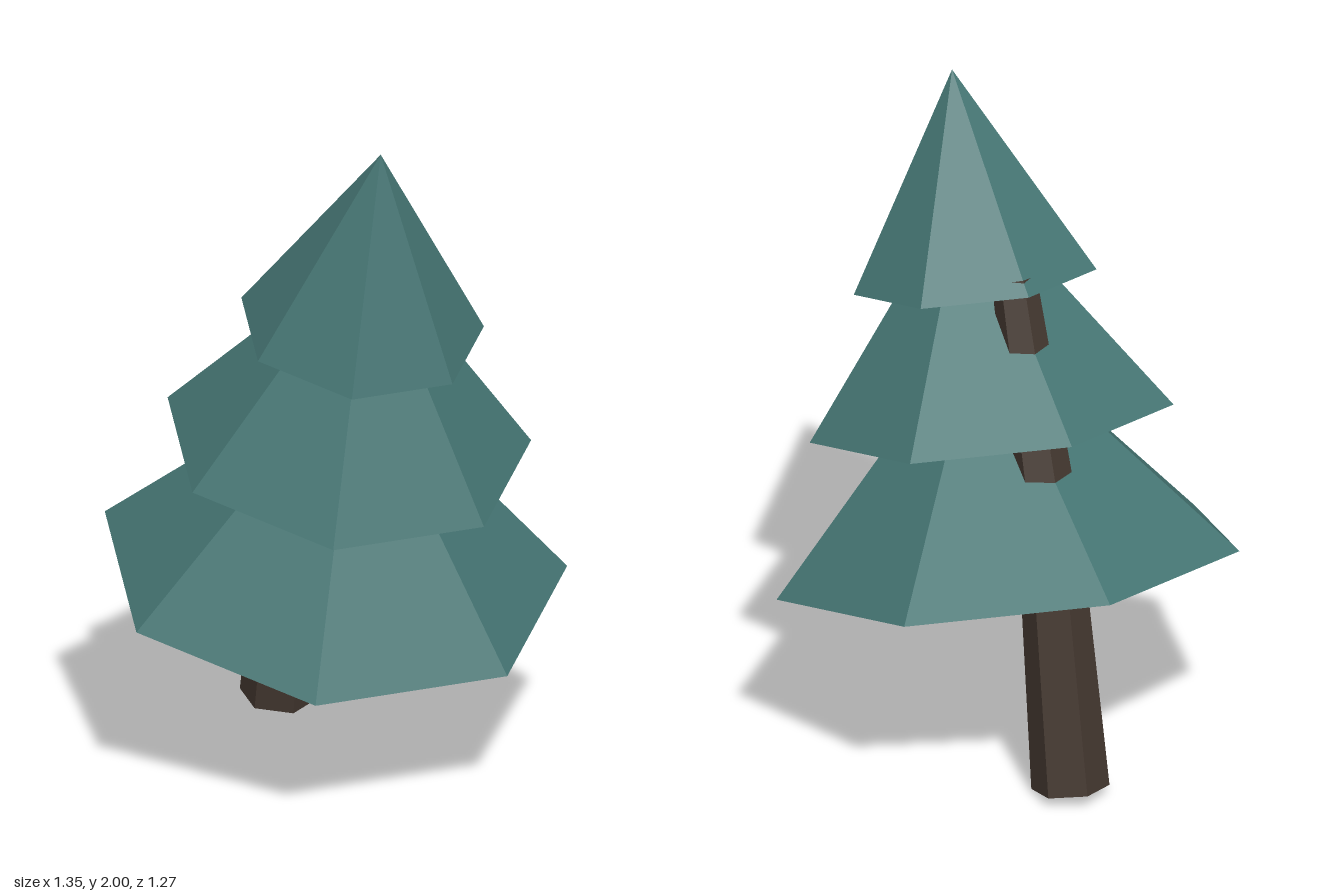
import * as THREE from 'three';

const needles = new THREE.MeshStandardMaterial({ color: 0x457573, flatShading: true });
needles.name = 'needleGreen';
const bark = new THREE.MeshStandardMaterial({ color: 0x43372f, flatShading: true });
bark.name = 'barkBrown';

// Seven-sided cone leaning forward, with a corner at the back
function tier(name, radius, height, y, z, lean) {
  const geometry = new THREE.ConeGeometry(radius, height, 7, 1, false, Math.PI);
  geometry.translate(0, height / 2, 0);
  const mesh = new THREE.Mesh(geometry, needles);
  mesh.name = name;
  mesh.position.set(0, y, z);
  mesh.rotation.x = lean;
  return mesh;
}

// Six-sided trunk: each row of a unit cylinder is moved onto its own tilted ring
function bentTrunk(rings) {
  const geometry = new THREE.CylinderGeometry(1, 1, rings.length - 1, 6, rings.length - 1);
  const p = geometry.attributes.position;
  for (let i = 0; i < p.count; i++) {
    const ring = rings[Math.round(p.getY(i) + (rings.length - 1) / 2)];
    const x = p.getX(i) * ring.r;
    const d = p.getZ(i) * ring.r;
    p.setXYZ(i, x, ring.y - d * Math.sin(ring.tilt), ring.z + d * Math.cos(ring.tilt));
  }
  geometry.computeVertexNormals();
  const mesh = new THREE.Mesh(geometry, bark);
  mesh.name = 'trunk';
  return mesh;
}

export function createModel() {
  const tree = new THREE.Group();
  tree.name = 'leaningPine';

  // Trunk, bending further forward inside the lowest tier
  tree.add(bentTrunk([
    { y: 0.021, z: -0.374, r: 0.114, tilt: 0.18 },
    { y: 0.835, z: -0.227, r: 0.091, tilt: 0.25 },
    { y: 1.508, z: -0.003, r: 0.066, tilt: 0.32 },
  ]));

  // Foliage
  const lean = 0.25;
  tree.add(tier('lowerFoliage', 0.692, 0.742, 0.564, 0.035, lean));
  tree.add(tier('middleFoliage', 0.544, 0.706, 1.0, 0.143, lean));
  tree.add(tier('upperFoliage', 0.363, 0.619, 1.4, 0.252, lean));
  return tree;
}
